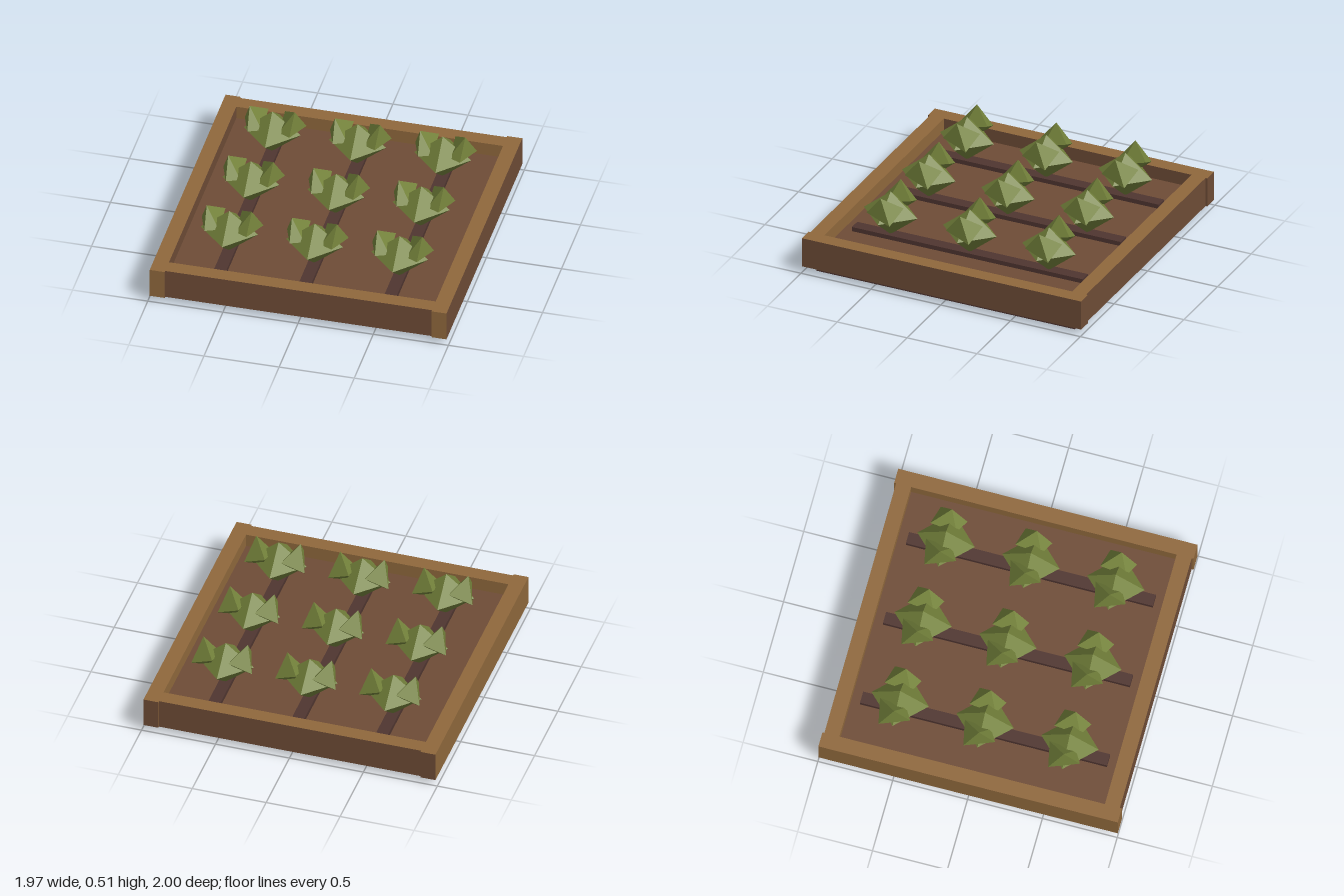
import * as THREE from 'three';
import { ConvexGeometry } from 'three/addons/geometries/ConvexGeometry.js';

const mat = (name, color) => {
  const m = new THREE.MeshStandardMaterial({ color, flatShading: true });
  m.name = name;
  return m;
};

export function createModel() {
  const tan = mat('tan wood', 0x8f683c);
  const brown = mat('brown soil and wood', 0x6e4c36);
  const dark = mat('dark earth', 0x4f3530);
  const green = mat('leaf green', 0x74823b);
  const model = new THREE.Group();
  model.name = 'planterBed';

  const add = (parent, name, geo, material, x = 0, y = 0, z = 0) => {
    const mesh = new THREE.Mesh(geo, material);
    mesh.name = name;
    mesh.position.set(x, y, z);
    parent.add(mesh);
    return mesh;
  };

  // Base plate and soil bed
  add(model, 'basePlate', new THREE.BoxGeometry(1.85, 0.05, 1.85), dark, 0, 0.025, 0);
  add(model, 'soil', new THREE.BoxGeometry(1.78, 0.115, 1.78), brown, 0, 0.1025, 0);

  // Frame boards; material order is +x, -x, +y, -y, +z, -z
  for (const s of [1, -1]) {
    add(model, s > 0 ? 'leftBoard' : 'rightBoard', new THREE.BoxGeometry(0.1, 0.205, 2),
      [brown, tan, tan, brown, tan, brown], s * 0.937, 0.1475, 0);
    const outer = s > 0 ? [brown, tan] : [tan, brown];
    add(model, s > 0 ? 'frontBoard' : 'backBoard', new THREE.BoxGeometry(1.776, 0.205, 0.1),
      [tan, tan, tan, brown, ...outer], 0, 0.1475, s * 0.937);
  }

  // Plant: a squat eight-faced body with two faceted side leaves
  const body = new THREE.OctahedronGeometry(1).scale(0.19, 0.155, 0.192);
  const leafPoints = [
    [0.15, 0.51, 0], [0.205, 0.35, -0.09], [0.055, 0.42, -0.12],
    [0.14, 0.38, 0.105], [0.055, 0.37, 0.055], [0.1, 0.31, -0.02],
  ];
  const leaf = (s) => new ConvexGeometry(leafPoints.map(([x, y, z]) => new THREE.Vector3(s * x, y, z)));
  const leftLeaf = leaf(1);
  const rightLeaf = leaf(-1);

  // Three raised rows with three plants each
  for (const x of [-0.567, 0, 0.567]) {
    add(model, 'plantingRow', new THREE.BoxGeometry(0.08, 0.05, 1.65), dark, x, 0.165, 0);
    for (const z of [-0.567, 0, 0.567]) {
      const plant = new THREE.Group();
      plant.name = 'plant';
      plant.position.set(x, 0, z);
      add(plant, 'plantBody', body, green, 0, 0.335, 0);
      add(plant, 'leftLeaf', leftLeaf, green);
      add(plant, 'rightLeaf', rightLeaf, green);
      model.add(plant);
    }
  }
  return model;
}
